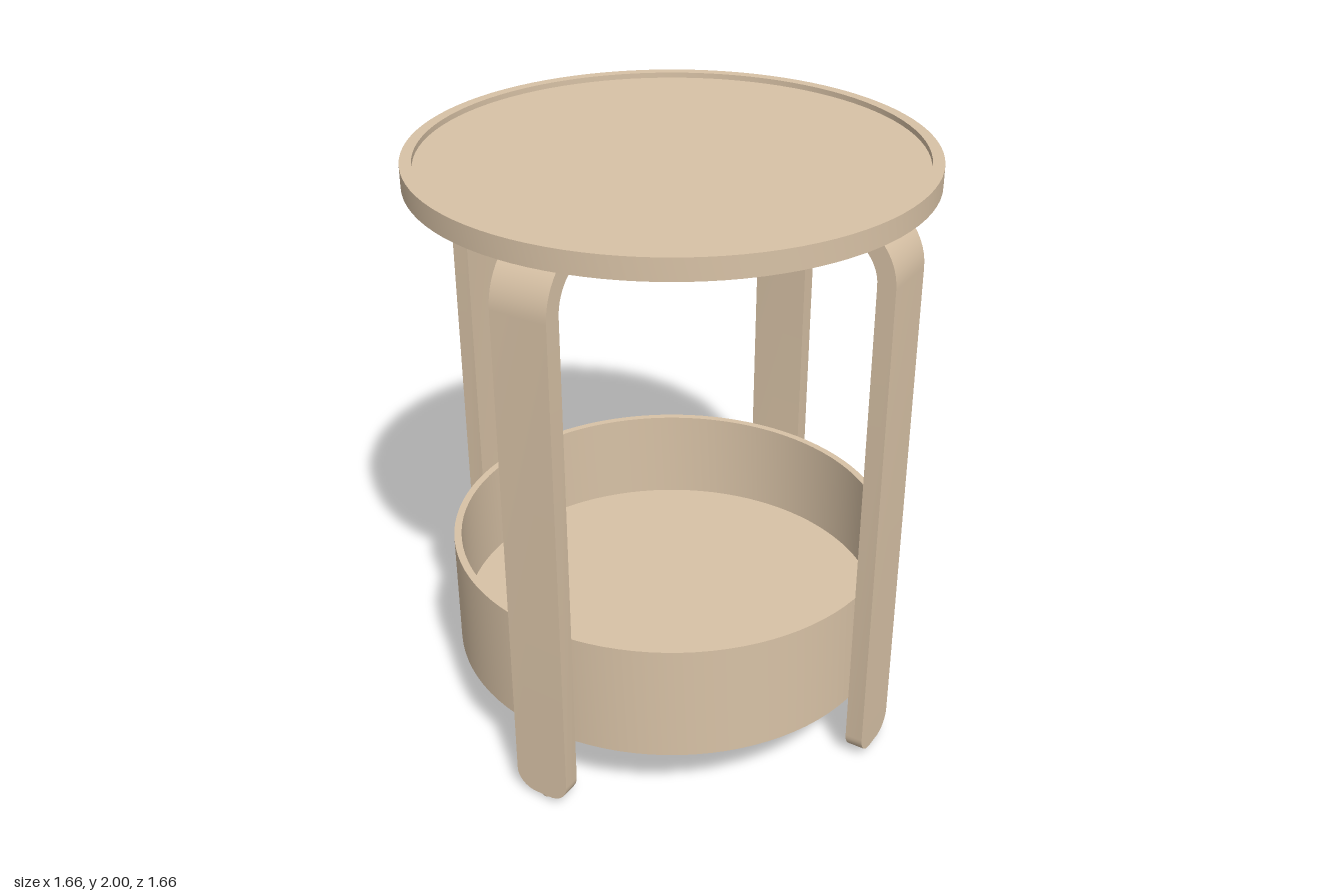
import * as THREE from 'three';
import { toCreasedNormals } from 'three/addons/utils/BufferGeometryUtils.js';

const wood = new THREE.MeshStandardMaterial({ color: 0xd8c2a6 });
wood.name = 'pale wood';

function part(name, geometry, parent, x = 0, y = 0, z = 0) {
  const mesh = new THREE.Mesh(geometry, wood);
  mesh.name = name;
  mesh.position.set(x, y, z);
  parent.add(mesh);
  return mesh;
}

// Round part from a profile of [radius, height], running from the bottom centre to the top centre
function turned(profile) {
  const points = profile.map(([r, y]) => new THREE.Vector2(r, y));
  return toCreasedNormals(new THREE.LatheGeometry(points, 96), 0.6);
}

// Bent leg: a box whose rows follow an upright, a quarter bend and an inward arm
function bentLeg() {
  const width = 0.196, thick = 0.06, bottom = 0.02, outer = 0.785;
  const bend = 0.17, bendY = 1.76, corner = 0.07;
  const rows = []; // radius, height, bend angle, half width
  for (let i = 0; i <= 8; i++) {
    const a = (i / 8) * Math.PI / 2;
    rows.push([outer, bottom + corner * (1 - Math.cos(a)), 0, width / 2 - corner * (1 - Math.sin(a))]);
  }
  for (let i = 0; i <= 14; i++) {
    const a = (i / 14) * Math.PI / 2;
    rows.push([outer - bend + bend * Math.cos(a), bendY + bend * Math.sin(a), a, width / 2]);
  }
  rows.push([0.38, bendY + bend, Math.PI / 2, width / 2]);

  const n = rows.length - 1;
  const geometry = new THREE.BoxGeometry(2, 1, thick, 1, n, 1);
  const pos = geometry.attributes.position;
  for (let i = 0; i < pos.count; i++) {
    const [r, y, a, half] = rows[Math.round((pos.getY(i) + 0.5) * n)];
    const d = pos.getZ(i);
    pos.setXYZ(i, pos.getX(i) * half, y + d * Math.sin(a), r + d * Math.cos(a));
  }
  return toCreasedNormals(geometry, 0.6);
}

export function createModel() {
  const model = new THREE.Group();
  model.name = 'side table';

  // Tabletop with a raised rim above and a lip below
  part('tabletop', turned([
    [0, 1.96], [0.793, 1.96], [0.793, 1.93], [0.83, 1.93],
    [0.83, 2], [0.793, 2], [0.793, 1.982], [0, 1.982],
  ]), model);

  // Deep lower tray with its floor set above the bottom edge
  part('tray', turned([
    [0, 0.295], [0.73, 0.295], [0.73, 0.24], [0.755, 0.24],
    [0.755, 0.65], [0.73, 0.65], [0.73, 0.32], [0, 0.32],
  ]), model);

  // Four legs on the diagonals, each with a foot and screws
  const legGeometry = bentLeg();
  const footGeometry = new THREE.CylinderGeometry(0.022, 0.017, 0.024, 20);
  const screwGeometry = new THREE.CylinderGeometry(0.016, 0.016, 0.008, 20);
  for (let i = 0; i < 4; i++) {
    const leg = new THREE.Group();
    leg.name = 'legAssembly';
    leg.rotation.y = Math.PI / 4 + i * Math.PI / 2;
    part('leg', legGeometry, leg);
    part('foot', footGeometry, leg, 0, 0.012, 0.785);
    for (const r of [0.46, 0.59]) part('armScrew', screwGeometry, leg, 0, 1.898, r);
    part('trayScrew', screwGeometry, leg, 0, 0.267, 0.728).rotation.x = Math.PI / 2;
    model.add(leg);
  }
  return model;
}
